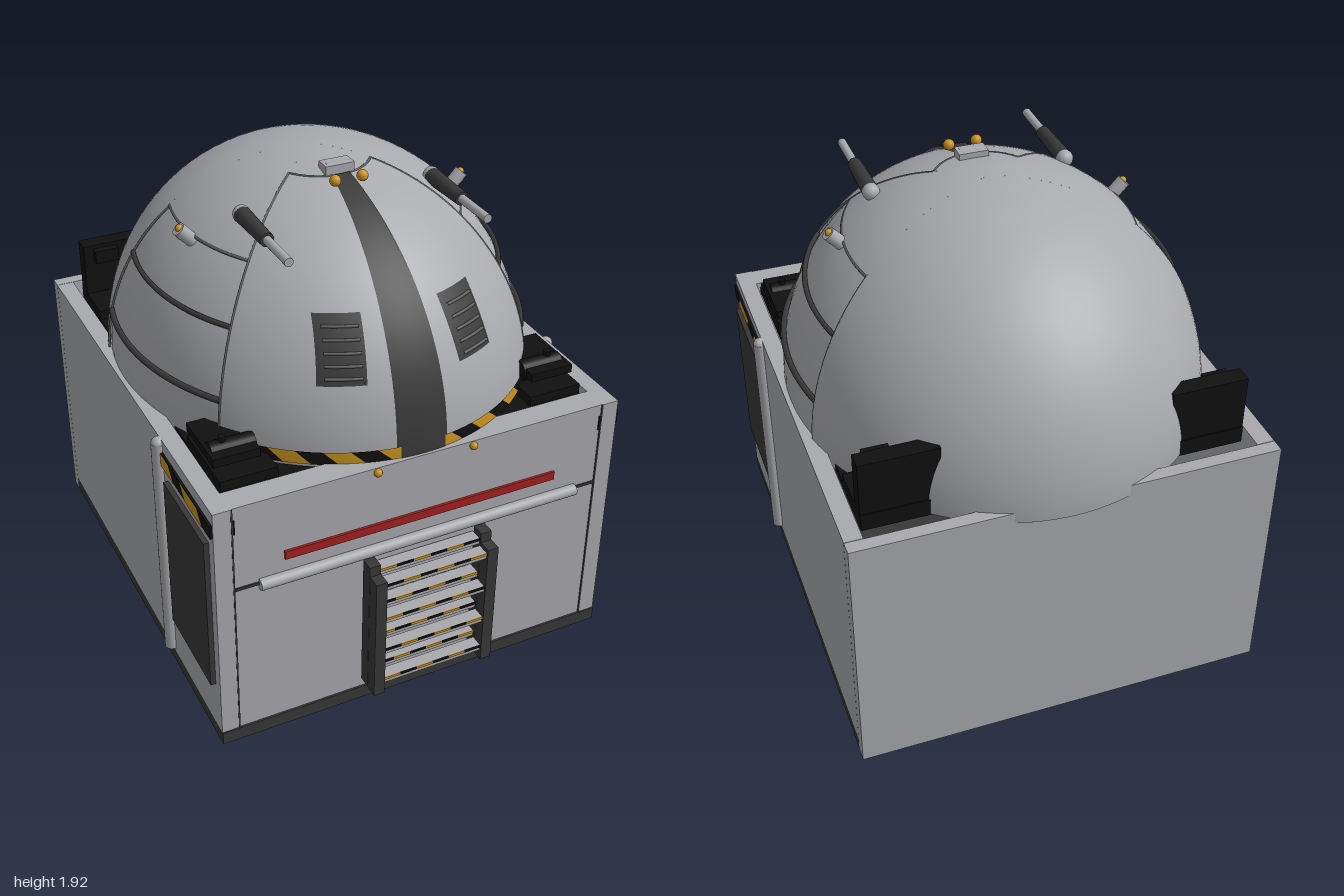
import * as THREE from 'three';
import { ParametricGeometry } from 'three/addons/geometries/ParametricGeometry.js';

const mat = (name, color) => new THREE.MeshStandardMaterial({ name, color, side: THREE.DoubleSide });
const grey = mat('light grey', 0xa9aaae);
const dark = mat('dark grey', 0x383838);
const black = mat('black', 0x101010);
const yellow = mat('yellow', 0xc8931f);
const red = mat('red', 0xa32020);
const slatGrey = mat('slat grey', 0x5c5c5e);

// Dome ellipsoid: centre and radii
const CY = 1.05, CZ = -0.075, RX = 0.82, RY = 0.86, RZ = 0.925;
const rad = THREE.MathUtils.degToRad, lerp = THREE.MathUtils.lerp;
const FRONT = rad(52), REAR = rad(106), BASE = rad(91);

function domePoint(theta, phi, s, target = new THREE.Vector3()) {
  return target.set(RX * s * Math.sin(theta) * Math.sin(phi), CY + RY * s * Math.cos(theta),
    CZ + RZ * s * Math.sin(theta) * Math.cos(phi));
}
const thetaAt = (y) => Math.acos((y - CY) / RY);
const domeZ = (x, y) => CZ + RZ * Math.sqrt(1 - (x / RX) ** 2 - ((y - CY) / RY) ** 2);

export function createModel() {
  const model = new THREE.Group();
  model.name = 'domedBunker';

  const add = (name, geo, m, x = 0, y = 0, z = 0) => {
    const mesh = new THREE.Mesh(geo, m);
    mesh.name = name;
    mesh.position.set(x, y, z);
    model.add(mesh);
    return mesh;
  };
  // Box given by its minimum and maximum on each axis
  const box = (name, m, x0, x1, y0, y1, z0, z1) =>
    add(name, new THREE.BoxGeometry(Math.abs(x1 - x0), y1 - y0, z1 - z0), m, (x0 + x1) / 2, (y0 + y1) / 2, (z0 + z1) / 2);
  const rod = (name, m, r, len, axis, x, y, z, r2 = r) => {
    const g = new THREE.CylinderGeometry(r2, r, len, 20);
    if (axis === 'x') g.rotateZ(Math.PI / 2);
    if (axis === 'z') g.rotateX(Math.PI / 2);
    return add(name, g, m, x, y, z);
  };
  const ball = (name, m, r, x, y, z) => add(name, new THREE.SphereGeometry(r, 16, 12), m, x, y, z);
  const tube = (name, m, pts, r) =>
    add(name, new THREE.TubeGeometry(new THREE.CatmullRomCurve3(pts), 32, r, 8), m);
  const domePatch = (name, m, t0, t1, p0, p1, s, nt = 32, np = 32) =>
    add(name, new ParametricGeometry((u, v, t) => domePoint(lerp(t0, t1, u), lerp(p0, p1, v), s, t), nt, np), m);
  const samples = (n, f) => Array.from({ length: n + 1 }, (_, i) => f(i / n));
  const both = (fn) => [[1, 'left'], [-1, 'right']].forEach(([s, side]) => fn(s, side));

  // Open-topped base
  box('plinth', dark, -0.825, 0.825, 0.005, 0.06, -0.91, 0.88);
  box('backWall', grey, -0.825, 0.825, 0, 1.08, -0.965, -0.912);
  box('frontWall', grey, -0.755, 0.755, 0.06, 1.08, 0.77, 0.872);
  box('deck', black, -0.74, 0.74, 1.03, 1.06, -0.82, 0.77);
  both((s, side) => {
    box(side + 'Wall', grey, s * 0.755, s * 0.825, 0.06, 1.08, -0.91, 0.875);
    box(side + 'FrontSeam', dark, s * 0.752, s * 0.758, 0.06, 1.08, 0.87, 0.877);
    box(side + 'FrontMarker', black, s * 0.745, s * 0.755, 0.97, 1.03, 0.87, 0.877);
    box(side + 'Door', dark, s * 0.82, s * 0.845, 0.27, 0.93, 0.43, 0.83);
    rod(side + 'WallPipe', grey, 0.028, 0.98, 'y', s * 0.832, 0.57, 0.362);
    ball(side + 'PipeCap', grey, 0.028, s * 0.832, 1.055, 0.362);

    // Hazard strip above the door
    box(side + 'HazardBack', black, s * 0.82, s * 0.834, 0.975, 1.03, 0.39, 0.87);
    [[0.8, 0.63], [0.52, 0.39]].forEach(([a, b]) => {
      const shape = new THREE.Shape();
      const end = Math.max(b - 0.05, 0.39);
      shape.moveTo(-a, 0.975).lineTo(-b, 0.975).lineTo(-end, 1.03).lineTo(-a + 0.05, 1.03);
      const g = new THREE.ShapeGeometry(shape);
      g.rotateY(Math.PI / 2);
      add(side + 'HazardStripe', g, yellow, s * 0.836, 0, 0);
    });

    // Rear corner fins
    box(side + 'RearFin', black, s * 0.44, s * 0.74, 1.06, 1.32, -0.815, -0.745);
    box(side + 'FinLug', black, s * 0.6, s * 0.7, 1.25, 1.305, -0.745, -0.71);
    box(side + 'RearPlate', black, s * 0.45, s * 0.74, 1.06, 1.1, -0.82, -0.58);

    // Front corner machinery
    box(side + 'CornerPlate', black, s * 0.52, s * 0.74, 1.06, 1.1, 0.42, 0.74);
    box(side + 'CornerBlock', black, s * 0.56, s * 0.74, 1.12, 1.155, 0.42, 0.68);
    rod(side + 'CornerDrum', black, 0.042, 0.17, 'x', s * 0.64, 1.13, 0.6);
    rod(side + 'CornerStud', black, 0.014, 0.09, 'y', s * 0.675, 1.145, 0.6);
  });

  // Front wall details
  box('redStrip', red, -0.56, 0.56, 0.8, 0.835, 0.87, 0.882);
  rod('frontBar', grey, 0.023, 1.32, 'x', 0, 0.722, 0.882);
  box('frontGroove', dark, -0.75, 0.75, 0.718, 0.73, 0.87, 0.877);
  both((s, side) => ball(side + 'FrontLamp', yellow, 0.016, s * 0.195, 1.062, 0.877));

  // Ladder with hazard-edged treads
  both((s, side) => {
    box(side + 'LadderRearRail', dark, s * 0.21, s * 0.255, 0.12, 0.7, 0.892, 0.945);
    box(side + 'LadderFrontRail', dark, s * 0.21, s * 0.255, 0.12, 0.66, 0.947, 1);
  });
  [0.19, 0.335, 0.485, 0.645].forEach((y, row) => {
    [[0.015, 0.885, 0.935], [-0.016, 0.94, 0.99]].forEach(([dy, z0, z1], k) => {
      box('tread', grey, -0.21, 0.21, y + dy - 0.013, y + dy + 0.013, z0, z1);
      for (let i = 0; i < 6; i++) {
        box('treadEdge', (i + k + row) % 2 ? yellow : black, -0.21 + i * 0.07, -0.14 + i * 0.07,
          y + dy + 0.003, y + dy + 0.014, z1, z1 + 0.004);
      }
    });
  });

  // Dome: inner shell, with raised outer shells leaving recessed side bays
  domePatch('innerDome', grey, 0, BASE, 0, Math.PI * 2, 0.985, 32, 72);
  domePatch('frontShell', grey, 0, BASE, -FRONT, FRONT, 1);
  domePatch('rearShell', grey, 0, BASE, REAR, Math.PI * 2 - REAR, 1, 32, 48);
  const floor = new THREE.CircleGeometry(1, 64);
  floor.rotateX(Math.PI / 2);
  floor.scale(RX, 1, RZ);
  add('domeFloor', floor, grey, 0, CY - 0.015, CZ);

  const bayTop = thetaAt(1.69);
  both((s, side) => {
    domePatch(side + 'Crown', grey, 0, bayTop, s > 0 ? FRONT : -REAR, s > 0 ? REAR : -FRONT, 1, 16, 20);
    tube(side + 'FrontDomeSeam', slatGrey, samples(20, (t) => domePoint(lerp(rad(15), rad(87), t), s * FRONT, 0.998)), 0.005);
    tube(side + 'RearDomeSeam', slatGrey, samples(20, (t) => domePoint(lerp(bayTop, rad(88), t), s * REAR, 0.995)), 0.005);
    // Bay bands
    [[1.69, slatGrey, 0.006], [1.5, dark, 0.01], [1.25, dark, 0.012]].forEach(([y, m, r]) =>
      tube(side + 'BayBand', m, samples(16, (t) => domePoint(thetaAt(y), s * lerp(FRONT, REAR, t), 0.996)), r));

    // Louvred vent, leaning with the dome
    const vent = (u, v, lift, t) => {
      const y = lerp(1.36, 1.58, v), x = lerp(lerp(0.185, 0.152, v), lerp(0.35, 0.31, v), u);
      const rim = u < 0.01 || u > 0.99 || v < 0.01 || v > 0.99;
      return t.set(s * x, y, domeZ(x, y) + (rim ? 0 : lift));
    };
    add(side + 'Vent', new ParametricGeometry((u, v, t) => vent(u, v, 0.016, t), 12, 12), dark);
    for (let i = 0; i < 5; i++) {
      tube(side + 'VentSlat', slatGrey,
        samples(6, (t) => vent(lerp(0.12, 0.88, t), 0.14 + i * 0.18, 0.017, new THREE.Vector3())), 0.006);
    }

    // Cannon on the crown
    const gx = s * 0.39;
    rod(side + 'CannonBarrel', grey, 0.017, 0.26, 'z', gx, 1.795, 0.435);
    rod(side + 'CannonBody', dark, 0.033, 0.23, 'z', gx, 1.795, 0.265, 0.027);
    ball(side + 'CannonPivot', grey, 0.034, gx, 1.795, 0.15);

    // Side sensor
    const stem = rod(side + 'SensorStem', grey, 0.027, 0.08, 'y', s * 0.565, 1.695, 0.03);
    stem.rotation.z = -s * 0.75;
    ball(side + 'SensorHead', grey, 0.027, s * 0.575, 1.703, 0.03);
    ball(side + 'SensorLamp', yellow, 0.016, s * 0.587, 1.725, 0.03);
    ball(side + 'CrownLamp', yellow, 0.022, s * 0.055, 1.893, 0.23);
  });

  // Crown seam and bracket
  tube('crownSeam', slatGrey, samples(12, (t) => domePoint(rad(15), lerp(-FRONT, FRONT, t), 0.998)), 0.005);
  box('crownBracket', grey, -0.058, 0.058, 1.875, 1.918, 0.095, 0.16);
  rod('crownHinge', grey, 0.025, 0.09, 'x', 0, 1.895, 0.135);

  // Tapered front spine
  add('frontSpine', new ParametricGeometry((u, v, t) => {
    const theta = lerp(rad(15.5), rad(88), v);
    const x = lerp(-1, 1, u) * (0.036 + 0.066 * Math.sin(v * Math.PI / 2));
    const phi = Math.asin(x / (RX * Math.sin(theta)));
    return domePoint(theta, phi, u < 0.01 || u > 0.99 ? 1 : 1.013, t);
  }, 12, 40), dark);

  // Slanted hazard ring at the foot of the dome
  const count = 13, step = rad(88) / count;
  for (let i = 0; i < count; i++) {
    const p = -rad(44) + i * step;
    add('hazardRing', new ParametricGeometry((u, v, t) =>
      domePoint(thetaAt(lerp(1.125, 1.075, u)), p + v * step + (u - 0.5) * 0.07, 1.01, t), 3, 6), i % 2 ? yellow : black);
  }

  return model;
}
